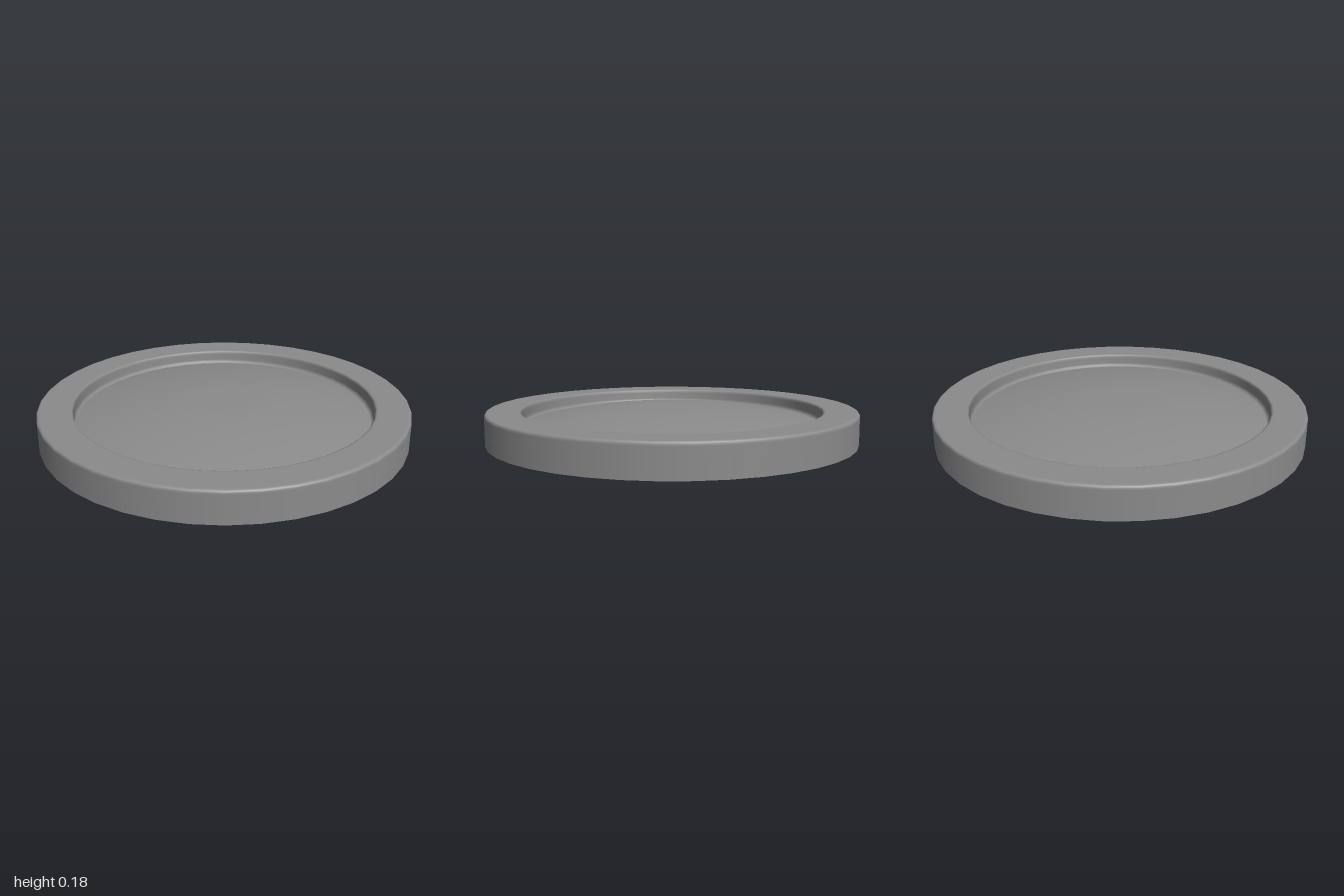
import * as THREE from 'three';

const SIDES = 40;

// Revolves a list of [radius, height] pairs into an open, smooth shell.
function turned(name, profile) {
  const points = profile.map(([r, y]) => new THREE.Vector2(r, y));
  const material = new THREE.MeshStandardMaterial({ color: 0x8b8b8b, side: THREE.DoubleSide });
  const mesh = new THREE.Mesh(new THREE.LatheGeometry(points, SIDES), material);
  mesh.name = name;
  return mesh;
}

export function createModel() {
  const group = new THREE.Group();
  group.name = 'domedDisc';

  // Hollow rim: outer wall, rounded edge, flat top, inner wall and a fillet at its foot
  group.add(turned('rim', [
    [1, 0], [1, 0.15], [1, 0.158], [0.997, 0.165], [0.99, 0.17], [0.98, 0.17],
    [0.83, 0.17], [0.822, 0.17], [0.815, 0.167], [0.812, 0.16], [0.811, 0.15],
    [0.81, 0.115], [0.808, 0.106], [0.803, 0.099], [0.795, 0.095],
  ]));

  // Shallow dome filling the recess, nearly flat on top and peaking just above the rim
  const edge = 0.797, flat = 0.18, low = 0.095, peak = 0.177, rings = 8;
  const dome = [];
  for (let i = 0; i <= rings; i++) {
    const r = THREE.MathUtils.lerp(edge, flat, i / rings);
    dome.push([r, peak - (peak - low) * (r * r - flat * flat) / (edge * edge - flat * flat)]);
  }
  dome.push([0, peak]);
  group.add(turned('dome', dome));

  return group;
}
